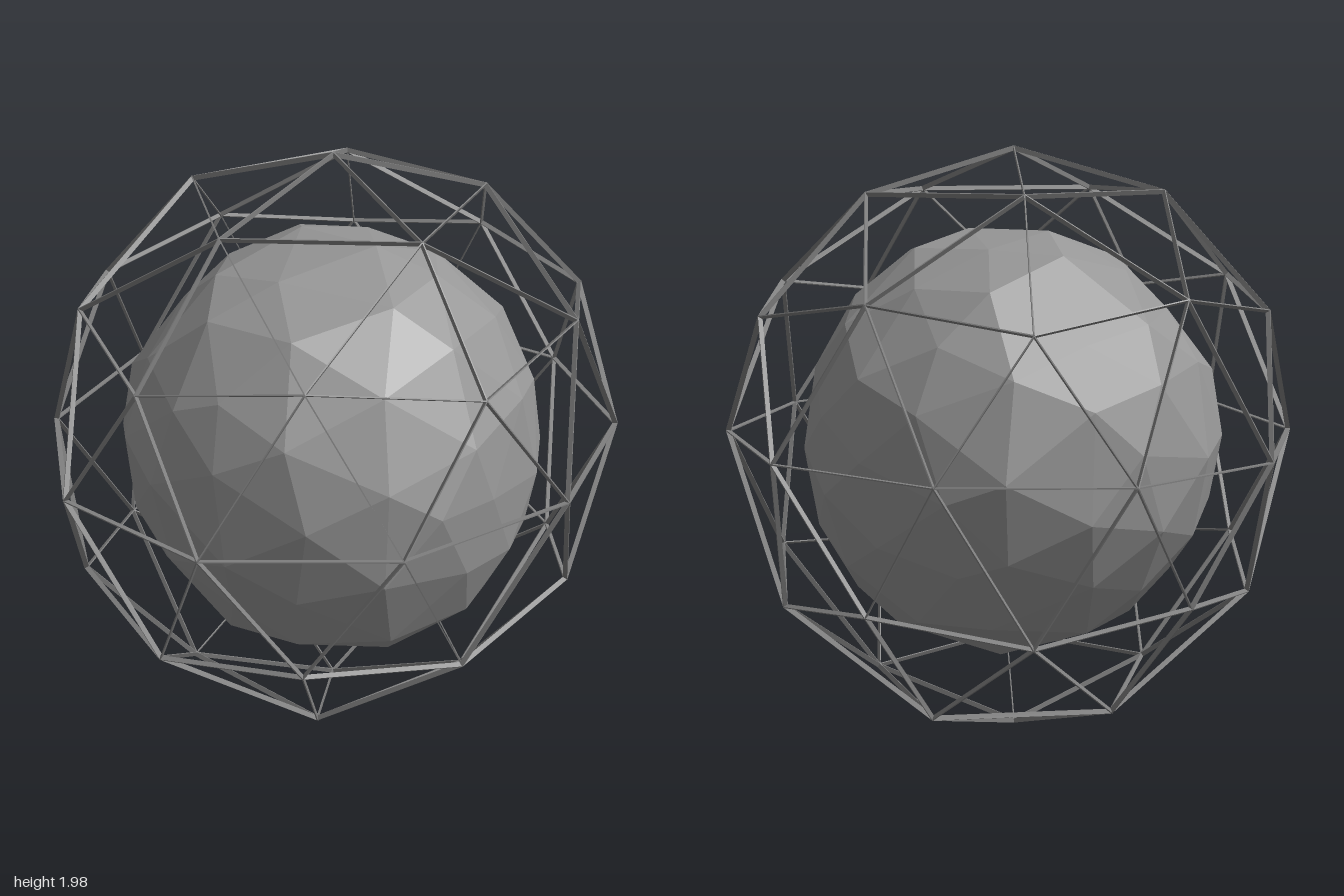
import * as THREE from 'three';
import { mergeGeometries, mergeVertices } from 'three/addons/utils/BufferGeometryUtils.js';

const DEPTH = 0.016; // radial depth of a strut
const WIDTH = 0.004; // width of a strut seen from outside
const TURN = 29; // turn of the whole cage about y, degrees

// small seeded generator, gives -1..1
function seeded(seed) {
  return () => {
    seed = (seed * 1664525 + 1013904223) % 4294967296;
    return (seed / 4294967296) * 2 - 1;
  };
}

// 42 nodes of a two-frequency geodesic sphere, ring by ring from the axis
function geodesicNodes() {
  const nodes = [];
  const ring = (count, y, degrees) => {
    const r = Math.sqrt(1 - y * y);
    for (let i = 0; i < count; i++) {
      const a = THREE.MathUtils.degToRad(degrees + (i * 360) / count);
      nodes.push(new THREE.Vector3(r * Math.cos(a), y, r * Math.sin(a)));
    }
  };
  ring(10, 0, TURN + 18);
  for (const s of [1, -1]) {
    const a = s > 0 ? TURN : TURN + 36;
    ring(1, s, 0);
    ring(5, s * 0.8507, a);
    ring(5, s * 0.4472, a);
    ring(5, s * 0.5257, a + 36);
  }
  return nodes;
}

// slight unevenness of the cage
function warp({ x, y, z }) {
  const tilt = 0.022 * x * Math.max(0, 1 - 4 * y * y);
  return new THREE.Vector3(
    x * (0.947 + 0.012 * y) - 0.004 + 0.01 * z,
    y - 0.01 - 0.01 * y + (1 - y * y) * (0.045 - 0.03 * y) + 0.016 * z + tilt,
    z * (1.006 + 0.012 * y) - 0.024 * (1 - z * z) - 0.011 * x * (1 + x) - 0.02 * y * (1 - y * y)
  );
}

// thin fin between two nodes, its deep side pointing to the centre
function strut(a, b) {
  const along = b.clone().sub(a);
  const length = along.length();
  along.normalize();
  const mid = a.clone().add(b).multiplyScalar(0.5);
  const out = mid.clone().addScaledVector(along, -mid.dot(along)).normalize();
  const side = along.clone().cross(out);
  mid.addScaledVector(out, -DEPTH / 2);
  return new THREE.BoxGeometry(length, DEPTH, WIDTH).applyMatrix4(
    new THREE.Matrix4().makeBasis(along, out, side).setPosition(mid)
  );
}

function makeCage() {
  const nodes = geodesicNodes();
  const placed = nodes.map(warp);
  const struts = [];
  for (let i = 0; i < nodes.length; i++) {
    for (let j = i + 1; j < nodes.length; j++) {
      if (nodes[i].distanceTo(nodes[j]) < 0.7) struts.push(strut(placed[i], placed[j]));
    }
  }
  const material = new THREE.MeshStandardMaterial({ color: 0x808080 });
  const cage = new THREE.Mesh(mergeGeometries(struts), material);
  cage.name = 'geodesicCage';
  return cage;
}

// outlines of the rock in its three main planes: [first axis, second axis, corners]
const OUTLINES = [
  ['x', 'y', [[0.7, -0.125], [0.68, 0.3], [0.46, 0.58], [0.23, 0.71], [0.04, 0.69], [-0.14, 0.715], [-0.29, 0.66],
    [-0.47, 0.48], [-0.69, 0.2], [-0.7, -0.05], [-0.6, -0.32], [-0.42, -0.57], [0, -0.71], [0.16, -0.72], [0.61, -0.455]]],
  ['z', 'y', [[-0.73, 0], [-0.595, 0.43], [-0.29, 0.64], [0, 0.71], [0.1, 0.71], [0.39, 0.62], [0.62, 0.39],
    [0.73, 0.04], [0.58, -0.375], [0.4, -0.62], [-0.02, -0.72], [-0.16, -0.72], [-0.52, -0.5], [-0.64, -0.305]]],
  ['x', 'z', [[0.69, 0.19], [0.56, 0.52], [0.32, 0.665], [0.09, 0.725], [-0.18, 0.69], [-0.51, 0.495], [-0.66, 0.23],
    [-0.71, -0.18], [-0.555, -0.42], [-0.315, -0.66], [-0.11, -0.73], [0.06, -0.725], [0.45, -0.545], [0.69, -0.13]]],
];

// radius of an outline at an angle, blended between its two nearest corners
function outlineRadius(corners, angle) {
  const polar = corners
    .map(([a, b]) => {
      const offset = Math.atan2(b, a) - angle;
      return { offset: Math.atan2(Math.sin(offset), Math.cos(offset)), r: Math.hypot(a, b) };
    })
    .sort((p, q) => p.offset - q.offset);
  const next = polar.findIndex((p) => p.offset >= 0);
  const before = polar[next - 1];
  const after = polar[next];
  return THREE.MathUtils.mapLinear(0, before.offset, after.offset, before.r, after.r);
}

// radius of the rock in a direction: each outline counts more the nearer its plane is
function rockRadius(v) {
  let sum = 0;
  let total = 0;
  for (const [a, b, corners] of OUTLINES) {
    const inPlane = v[a] ** 2 + v[b] ** 2;
    const weight = inPlane / (1.02 - inPlane);
    sum += weight * outlineRadius(corners, Math.atan2(v[b], v[a]));
    total += weight;
  }
  return sum / total;
}

// faceted rock: sphere whose corners are nudged around and set to the rock's radius
function makeCore() {
  let geometry = new THREE.IcosahedronGeometry(1, 2);
  geometry.deleteAttribute('normal');
  geometry.deleteAttribute('uv');
  geometry = mergeVertices(geometry, 1e-4);
  const random = seeded(17);
  const pos = geometry.attributes.position;
  const v = new THREE.Vector3();
  for (let i = 0; i < pos.count; i++) {
    v.fromBufferAttribute(pos, i);
    v.x += random() * 0.07;
    v.y += random() * 0.07;
    v.z += random() * 0.07;
    v.normalize();
    v.setLength(rockRadius(v) + random() * 0.01);
    pos.setXYZ(i, v.x, v.y, v.z);
  }
  geometry = geometry.toNonIndexed();
  geometry.computeVertexNormals();
  const material = new THREE.MeshStandardMaterial({ color: 0x969696, flatShading: true });
  const core = new THREE.Mesh(geometry, material);
  core.name = 'rockCore';
  return core;
}

export function createModel() {
  const model = new THREE.Group();
  model.name = 'cagedRock';
  const cage = makeCage();
  const core = makeCore();
  cage.position.y = 1;
  core.position.y = 1;
  model.add(cage, core);
  return model;
}
